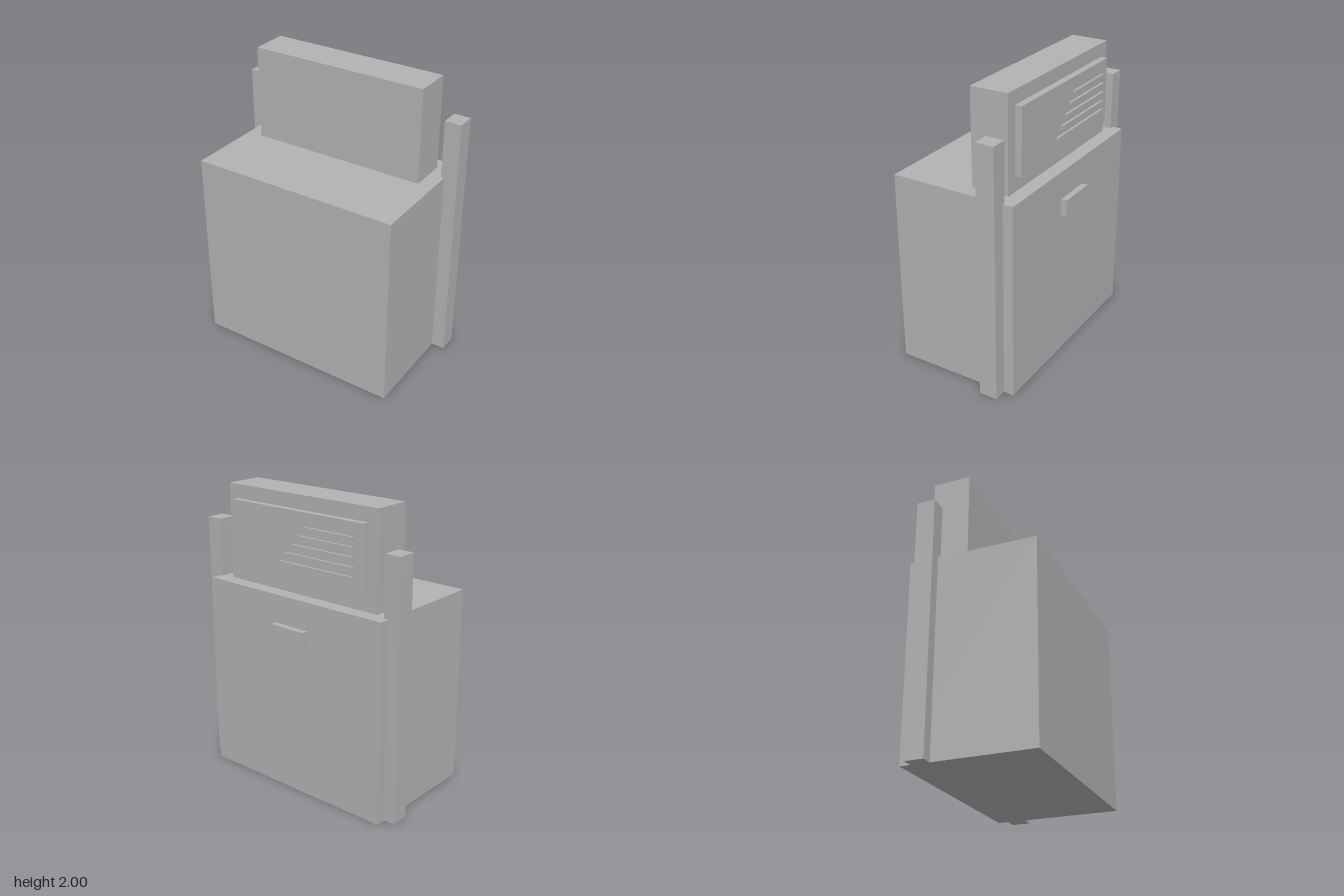
import * as THREE from 'three';

export function createModel() {
  const model = new THREE.Group();
  model.name = 'cabinet';
  const grey = new THREE.MeshStandardMaterial({ color: 0xb2b2b2 });
  grey.name = 'plain grey';

  // Box given by its limits along each axis
  function box(name, [x0, x1], [y0, y1], [z0, z1]) {
    const mesh = new THREE.Mesh(new THREE.BoxGeometry(x1 - x0, y1 - y0, z1 - z0), grey);
    mesh.position.set((x0 + x1) / 2, (y0 + y1) / 2, (z0 + z1) / 2);
    mesh.name = name;
    model.add(mesh);
  }

  // Main body and the upper block standing on it
  box('body', [-0.73, 0.715], [0, 1.355], [-0.415, 0.457]);
  box('upperBlock', [-0.626, 0.612], [1.355, 2], [-0.318, -0.06]);

  // Upright posts set into both sides
  box('rightPost', [-0.806, -0.696], [0, 1.75], [-0.344, -0.217]);
  box('leftPost', [0.692, 0.806], [0, 1.75], [-0.344, -0.217]);

  // Raised panel on the back of the upper block
  box('backPanel', [-0.55, 0.535], [1.458, 1.907], [-0.364, -0.318]);

  // Slats, each longer than the one above
  for (let i = 0; i < 5; i++) {
    const y = 1.809 - i * 0.0617;
    box('slat' + (i + 1), [-0.484, -0.089 + i * 0.053], [y - 0.01, y + 0.01], [-0.38, -0.364]);
  }

  // Handle on the back of the body
  box('handle', [-0.147, 0.133], [1.045, 1.164], [-0.457, -0.415]);

  return model;
}
